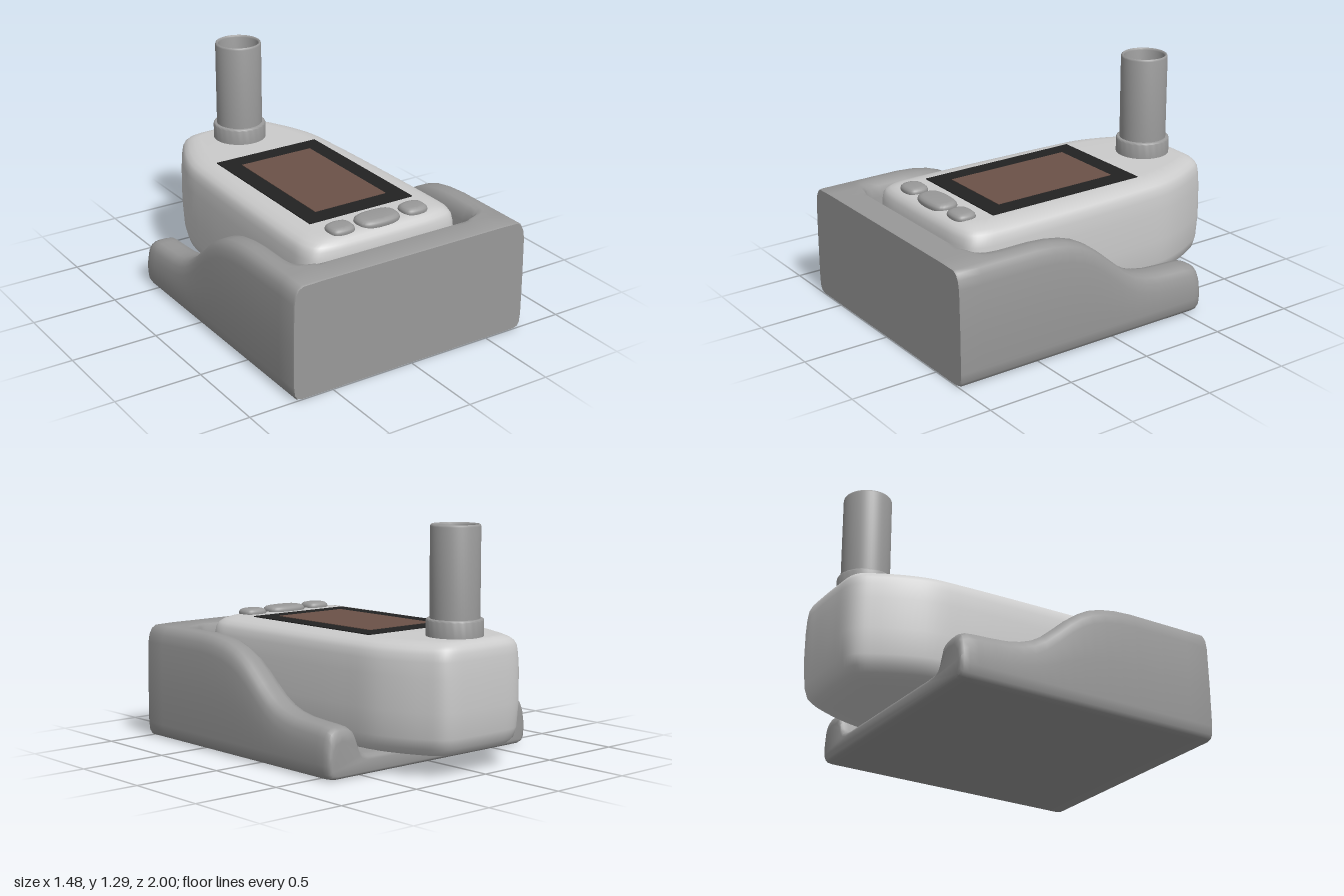
import * as THREE from 'three';
import { toCreasedNormals } from 'three/addons/utils/BufferGeometryUtils.js';

const paint = (color) => new THREE.MeshStandardMaterial({ color, roughness: 0.7 });

// Skin a stack of rings and close both ends; flat() gives each ring point as 2D, counterclockwise
function loft(rings, flat, crease = 0.75) {
  const n = rings[0].length, pos = [], index = [];
  rings.forEach((r) => r.forEach((p) => pos.push(p.x, p.y, p.z)));
  for (let i = 0; i < rings.length - 1; i++) {
    for (let j = 0; j < n; j++) {
      const a = i * n + j, b = i * n + ((j + 1) % n);
      index.push(a, b, b + n, a, b + n, a + n);
    }
  }
  const cap = (k, reverse) => {
    for (const [a, b, c] of THREE.ShapeUtils.triangulateShape(rings[k].map(flat), [])) {
      const o = k * n;
      if (reverse) index.push(o + a, o + c, o + b);
      else index.push(o + a, o + b, o + c);
    }
  };
  cap(0, true);
  cap(rings.length - 1, false);
  const g = new THREE.BufferGeometry();
  g.setAttribute('position', new THREE.Float32BufferAttribute(pos, 3));
  g.setIndex(index);
  return toCreasedNormals(g, crease);
}

// Closed smooth plan outline from its +x half, listed front to back as [x, z]
function outline(half, count) {
  const right = half.map(([x, z]) => new THREE.Vector3(x, 0, z));
  const left = half.map(([x, z]) => new THREE.Vector3(-x, 0, z)).reverse();
  return new THREE.CatmullRomCurve3([...right, ...left], true).getPoints(count).slice(0, -1);
}

// Stack a plan outline in layers [y, inset x, inset z]
function layered(points, layers) {
  const box = new THREE.Box3().setFromPoints(points);
  const mid = box.getCenter(new THREE.Vector3());
  const size = box.getSize(new THREE.Vector3());
  const rings = layers.map(([y, ix, iz]) => points.map((p) => new THREE.Vector3(
    p.x * (1 - (2 * ix) / size.x), y, mid.z + (p.z - mid.z) * (1 - (2 * iz) / size.z))));
  return loft(rings, (p) => new THREE.Vector2(p.x, -p.z));
}

// One cross-section of the cradle: wall top h, cavity floor f, cavity width w, outer scale s, base b
function cradleSection([z, h, f, w = 1, s = 1, b = 0]) {
  const half = [
    [0.69, b], [0.72, b + 0.008], [0.734, b + 0.03], [0.74, b + 0.08],
    [0.74, h * 0.5], [0.736, h - 0.1], [0.727, h - 0.05], [0.71, h - 0.018], [0.685, h - 0.003],
  ].map(([x, y]) => [x * s, y]);
  const inner = [[0.65, 1], [0.61, 0.995], [0.58, 0.96], [0.56, 0.85], [0.545, 0.6],
    [0.53, 0.3], [0.51, 0.12], [0.475, 0.03], [0.42, 0]];
  inner.forEach(([x, t]) => half.push([x * w, f + (h - f) * t]));
  const right = half.map(([x, y]) => new THREE.Vector3(x, y, z));
  const left = half.map(([x, y]) => new THREE.Vector3(-x, y, z)).reverse();
  return [...right, ...left];
}

export function createModel() {
  const group = new THREE.Group();
  const light = paint(0xcccccc), grey = paint(0x999999);
  const add = (name, geometry, material) => {
    const mesh = new THREE.Mesh(geometry, material);
    mesh.name = name;
    group.add(mesh);
    return mesh;
  };

  // Cradle: swept U section, closed by a front wall
  const stations = [
    [-0.605, 0.205, 0.08, 1, 0.97, 0.02], [-0.6, 0.235, 0.095, 1, 0.985, 0.01],
    [-0.585, 0.258, 0.105, 1, 0.995, 0.003], [-0.555, 0.27, 0.11], [-0.5, 0.276, 0.11],
    [-0.4, 0.281, 0.11], [-0.3, 0.289, 0.11], [-0.22, 0.305, 0.11], [-0.15, 0.33, 0.11],
    [-0.08, 0.372, 0.11], [0, 0.438, 0.11], [0.08, 0.508, 0.11], [0.15, 0.56, 0.11],
    [0.22, 0.598, 0.11], [0.3, 0.625, 0.11], [0.4, 0.643, 0.11], [0.5, 0.65, 0.11],
    [0.68, 0.65, 0.11], [0.74, 0.65, 0.11, 0.985], [0.775, 0.65, 0.115, 0.96],
    [0.792, 0.65, 0.14, 0.93], [0.802, 0.65, 0.3, 0.91], [0.81, 0.65, 0.56, 0.9],
    [0.818, 0.65, 0.625, 0.89], [0.835, 0.65, 0.647, 0.88], [0.86, 0.65, 0.65, 0.88],
    [0.99, 0.65, 0.65, 0.88], [1, 0.645, 0.645, 0.88, 0.996, 0.004],
  ];
  add('cradle', loft(stations.map(cradleSection), (p) => new THREE.Vector2(p.x, p.y)), grey);

  // Handheld body: tapered plan with rounded upper and lower edges
  const plan = outline([
    [0.15, 0.78], [0.36, 0.772], [0.45, 0.745], [0.485, 0.68], [0.492, 0.55], [0.487, 0.25],
    [0.478, -0.1], [0.466, -0.4], [0.45, -0.6], [0.405, -0.745], [0.34, -0.88],
    [0.285, -0.965], [0.23, -0.992], [0.1, -1],
  ], 112);
  add('body', layered(plan, [
    [0.1, 0.15, 0.16], [0.108, 0.09, 0.1], [0.125, 0.05, 0.055], [0.155, 0.022, 0.025],
    [0.21, 0.008, 0.01], [0.35, 0, 0], [0.53, 0.001, 0.002], [0.61, 0.006, 0.007],
    [0.65, 0.014, 0.012], [0.673, 0.028, 0.022], [0.69, 0.055, 0.038],
    [0.702, 0.095, 0.06], [0.707, 0.14, 0.085],
  ]), light);

  // Display frame and screen
  const frame = add('displayFrame', new THREE.BoxGeometry(0.665, 0.03, 0.98), paint(0x222222));
  frame.position.set(0, 0.697, 0.03);
  const screen = add('screen', new THREE.BoxGeometry(0.46, 0.03, 0.765), paint(0x6b5248));
  screen.position.set(0, 0.7, 0.032);

  // Three soft buttons along the front
  const button = (name, x, w, d) => {
    const shape = outline([
      [w * 0.45, d], [w * 0.8, d * 0.82], [w * 0.98, d * 0.45],
      [w * 0.98, -d * 0.45], [w * 0.8, -d * 0.82], [w * 0.45, -d],
    ], 48);
    const mesh = add(name, layered(shape, [
      [0.665, 0.012, 0.012], [0.695, 0.006, 0.006], [0.712, 0, 0], [0.725, 0.004, 0.004],
      [0.734, 0.014, 0.014], [0.738, 0.03, 0.028],
    ]), grey);
    mesh.position.set(x, 0, 0.657);
  };
  button('centreButton', 0, 0.127, 0.077);
  button('leftButton', 0.235, 0.075, 0.064);
  button('rightButton', -0.235, 0.075, 0.064);

  // Turned parts standing at the back
  const lathe = (name, profile) => {
    const g = new THREE.LatheGeometry(profile.map(([r, y]) => new THREE.Vector2(r, y)), 48);
    add(name, toCreasedNormals(g, 0.8), grey).position.z = -0.765;
  };
  lathe('collar', [[0, 0.69], [0.154, 0.69], [0.154, 0.79], [0.151, 0.797], [0.146, 0.8], [0.12, 0.8]]);
  lathe('tube', [[0.134, 0.7], [0.134, 1.283], [0.131, 1.292], [0.126, 1.295],
    [0.12, 1.292], [0.117, 1.283], [0.117, 0.73], [0, 0.73]]);

  return group;
}
